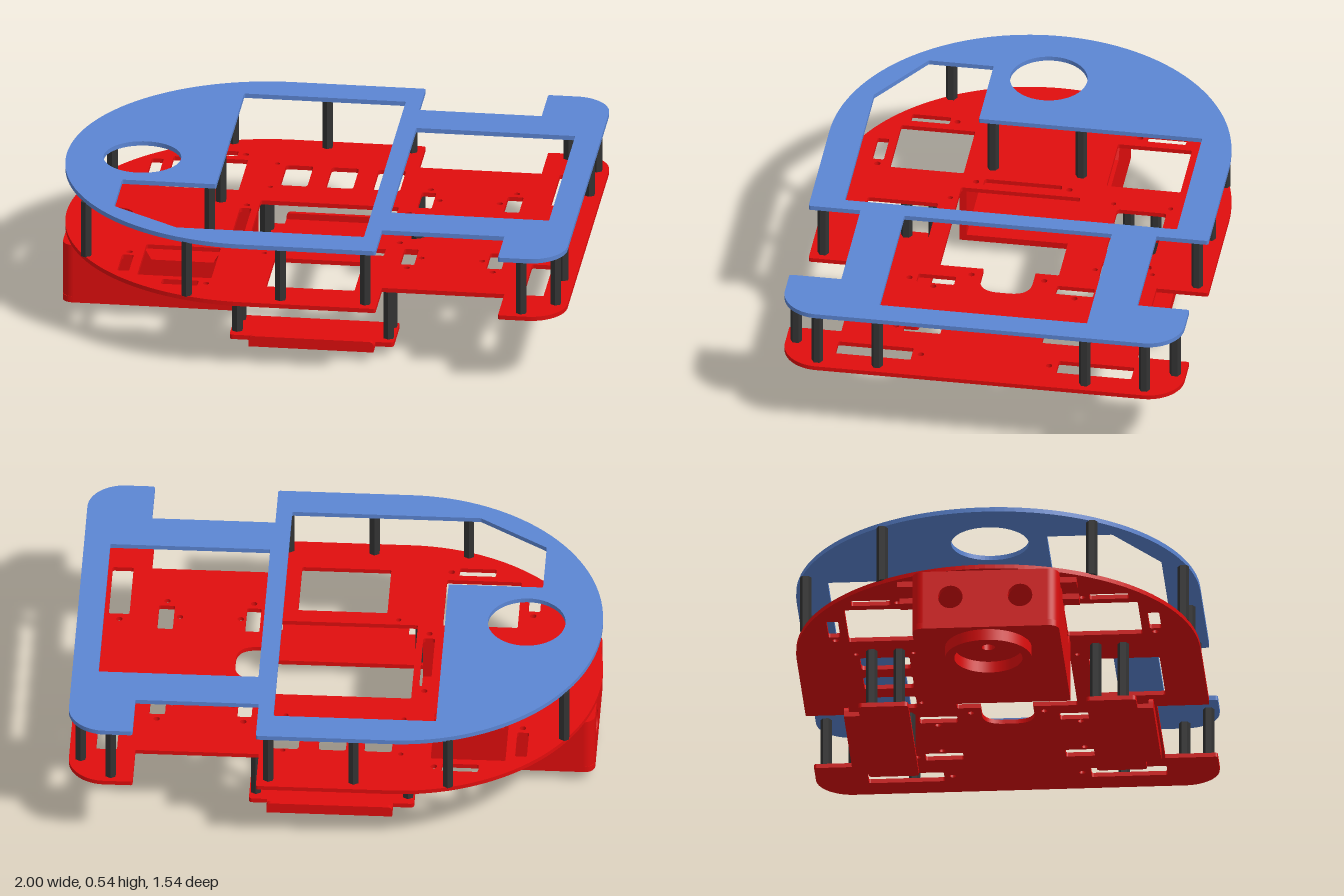
import * as THREE from 'three';

const RED = new THREE.MeshStandardMaterial({ color: 0xe00d0d, side: THREE.DoubleSide });
const BLUE = new THREE.MeshStandardMaterial({ color: 0x5c86d4, side: THREE.DoubleSide });
const BLACK = new THREE.MeshStandardMaterial({ color: 0x333333 });

// Closed outline from corner points, each corner rounded by r
function poly(pts, r = 0, Type = THREE.Path) {
  const path = new Type();
  const v = pts.map(p => new THREE.Vector2(p[0], p[1]));
  v.forEach((p, i) => {
    const a = v[(i + v.length - 1) % v.length], b = v[(i + 1) % v.length];
    const rr = pts[i][2] ?? r;
    const s = p.clone().add(a.clone().sub(p).setLength(rr));
    const e = p.clone().add(b.clone().sub(p).setLength(rr));
    if (i === 0) path.moveTo(s.x, s.y); else path.lineTo(s.x, s.y);
    if (rr > 0) path.quadraticCurveTo(p.x, p.y, e.x, e.y);
  });
  path.closePath();
  return path;
}
const rect = (x0, x1, z0, z1, r = 0.008) => poly([[x0, z0], [x1, z0], [x1, z1], [x0, z1]], r);
const circle = (x, z, r) => new THREE.Path().absarc(x, z, r, 0, Math.PI * 2, true);

// Horizontal slab: shape lies in x,z and fills y0..y1
function slab(name, shape, holes, y0, y1, mat) {
  shape.holes.push(...holes);
  const g = new THREE.ExtrudeGeometry(shape, { depth: y1 - y0, bevelEnabled: false, curveSegments: 32 });
  g.rotateX(Math.PI / 2).translate(0, y1, 0);
  const m = new THREE.Mesh(g, mat);
  m.name = name;
  return m;
}

// Deck outline: round nose at -x, wheel notches, rounded tail corners
function deckOutline() {
  const s = new THREE.Shape();
  s.moveTo(-0.23, -0.77);
  s.lineTo(0.27, -0.77);
  s.quadraticCurveTo(0.28, -0.77, 0.28, -0.76);
  s.lineTo(0.28, -0.57);
  s.lineTo(0.75, -0.57);
  s.lineTo(0.75, -0.76);
  s.quadraticCurveTo(0.75, -0.77, 0.76, -0.77);
  s.lineTo(0.86, -0.77);
  s.absarc(0.86, -0.63, 0.14, -Math.PI / 2, 0, false);
  s.absarc(0.86, 0.63, 0.14, 0, Math.PI / 2, false);
  s.lineTo(0.76, 0.77);
  s.quadraticCurveTo(0.75, 0.77, 0.75, 0.76);
  s.lineTo(0.75, 0.57);
  s.lineTo(0.28, 0.57);
  s.lineTo(0.28, 0.76);
  s.quadraticCurveTo(0.28, 0.77, 0.27, 0.77);
  s.lineTo(-0.23, 0.77);
  s.absarc(-0.23, 0, 0.77, Math.PI / 2, Math.PI * 1.5, false);
  return s;
}

function lowerDeck() {
  const holes = [
    // central opening with a rounded tongue toward the tail
    poly([[-0.28, -0.19], [0.25, -0.19], [0.25, -0.1, 0], [0.4, -0.1, 0.08],
      [0.4, 0.1, 0.08], [0.25, 0.1, 0], [0.25, 0.27], [-0.28, 0.27]], 0.008),
    rect(-0.35, -0.305, -0.11, 0.19, 0.012),
    rect(-0.16, 0.18, 0.34, 0.61),
    circle(-0.8, 0, 0.055),
    circle(-0.26, -0.54, 0.01), circle(0.19, -0.54, 0.01),
    circle(-0.26, -0.32, 0.01), circle(0.19, -0.32, 0.01), circle(-0.205, 0.3, 0.01),
    circle(-0.327, -0.14, 0.012), circle(-0.327, 0.22, 0.012),
  ];
  for (const x of [-0.225, -0.05, 0.13]) holes.push(rect(x, x + 0.105, -0.53, -0.34, 0.015));
  for (const s of [-1, 1]) {
    const slot = (a, b, c, d) => holes.push(rect(a, b, Math.min(s * c, s * d), Math.max(s * c, s * d)));
    slot(-0.66, -0.375, 0.275, 0.56);
    slot(-0.74, -0.695, 0.38, 0.53);
    slot(-0.56, -0.42, 0.59, 0.635);
    slot(0.32, 0.375, 0.195, 0.34);
    slot(0.65, 0.71, 0.195, 0.34);
    slot(0.82, 0.9, 0.28, 0.57);
    for (const [x, z] of [[0.35, 0.37], [0.68, 0.37], [0.395, 0.272], [0.627, 0.272],
      [0.857, 0.247], [0.295, 0.14], [-0.715, 0.352], [-0.39, 0.61]]) {
      holes.push(circle(x, s * z, 0.012));
    }
  }
  return slab('lowerDeck', deckOutline(), holes, 0.283, 0.3, RED);
}

function upperDeck() {
  return slab('upperDeck', deckOutline(), [
    poly([[-0.4, -0.64], [0.22, -0.64], [0.22, 0.64], [-0.5, 0.64], [-0.76, 0.47],
      [-0.76, 0.22], [-0.4, 0.22]], 0.006),
    rect(0.29, 0.9, -0.4, 0.4, 0.004),
    circle(-0.71, 0, 0.148),
  ], 0.522, 0.54, BLUE);
}

function post(name, x, z, y0, y1) {
  const m = new THREE.Mesh(new THREE.CylinderGeometry(0.022, 0.022, y1 - y0, 6).toNonIndexed(), BLACK);
  m.geometry.computeVertexNormals();
  m.position.set(x, (y0 + y1) / 2, z);
  m.name = name;
  return m;
}

// Sensor housing under the nose, open at the back, with the caster socket below
function noseHousing() {
  const g = new THREE.Group();
  g.name = 'noseHousing';
  const add = (name, geo) => {
    const m = new THREE.Mesh(geo, RED);
    m.name = name;
    g.add(m);
  };
  const T = 0.028, R = 0.045, X0 = -0.985, X1 = -0.3, Z = 0.28, Y0 = 0.045, Y1 = 0.283;

  g.add(slab('housingFloor', poly([[X0, -Z, R], [X1, -Z], [X1, Z], [X0, Z, R]], 0, THREE.Shape),
    [circle(-0.8, 0, 0.025)], Y0, Y0 + 0.025, RED));

  // front wall with two round eyes
  const wall = poly([[-Z + R, Y0], [Z - R, Y0], [Z - R, Y1], [-Z + R, Y1]], 0, THREE.Shape);
  wall.holes.push(circle(-0.133, 0.175, 0.047), circle(0.133, 0.175, 0.047));
  const wg = new THREE.ExtrudeGeometry(wall, { depth: T, bevelEnabled: false, curveSegments: 24 });
  add('housingFront', wg.rotateY(-Math.PI / 2).translate(X0 + T, 0, 0));

  for (const s of [-1, 1]) {
    // side wall with a sloped notch in its top edge
    const side = poly([[X0 + R, Y0], [X1, Y0], [X1, Y1], [-0.372, Y1], [-0.4, 0.24],
      [-0.64, 0.24], [-0.665, Y1], [X0 + R, Y1]], 0, THREE.Shape);
    const sg = new THREE.ExtrudeGeometry(side, { depth: T, bevelEnabled: false });
    add('housingSide', sg.translate(0, 0, s > 0 ? Z - T : -Z));

    // rounded vertical corner
    const c = new THREE.Shape();
    const a0 = s > 0 ? Math.PI / 2 : Math.PI, a1 = a0 + Math.PI / 2;
    c.absarc(X0 + R, s * (Z - R), R, a0, a1, false);
    c.absarc(X0 + R, s * (Z - R), R - T, a1, a0, true);
    g.add(slab('housingCorner', c, [], Y0, Y1, RED));

    // mounting tabs
    for (const x of [-0.875, -0.725]) {
      const tab = new THREE.BoxGeometry(0.055, 0.023, 0.065);
      add('mountingTab', tab.translate(x, 0.272, s * 0.31));
    }
  }

  // caster socket ring
  const ring = [[0.13, 0.046], [0.13, 0], [0.13, 0], [0.165, 0], [0.165, 0], [0.165, 0.046]];
  const socket = new THREE.LatheGeometry(ring.map(p => new THREE.Vector2(...p)), 48);
  add('casterSocket', socket.translate(-0.8, 0, 0));
  return g;
}

// Hanging motor tray: wide middle with an upturned lip, held by four posts
function motorTray(s) {
  const g = new THREE.Group();
  g.name = s > 0 ? 'frontTray' : 'backTray';
  const pts = [[-0.31, 0.34], [0.32, 0.34], [0.32, 0.53], [0.25, 0.53, 0], [0.25, 0.59, 0],
    [-0.23, 0.59, 0], [-0.23, 0.53, 0], [-0.31, 0.53]].map(p => [p[0], s * p[1], p[2]]);
  g.add(slab('trayPlate', poly(pts, 0.015, THREE.Shape), [], 0.038, 0.056, RED));
  const lip = poly([[-0.23, 0.045, 0], [0.25, 0.045, 0], [0.25, 0.081], [-0.23, 0.081]], 0.02, THREE.Shape);
  const lg = new THREE.ExtrudeGeometry(lip, { depth: 0.017, bevelEnabled: false });
  const m = new THREE.Mesh(lg.translate(0, 0, s > 0 ? 0.573 : -0.59), RED);
  m.name = 'trayLip';
  g.add(m);
  for (const x of [-0.285, 0.295]) for (const z of [0.375, 0.48]) {
    g.add(post('trayPost', x, s * z, 0.054, 0.285));
  }
  return g;
}

export function createModel() {
  const model = new THREE.Group();
  model.name = 'robotChassis';
  model.add(lowerDeck(), upperDeck(), noseHousing());
  const posts = [[-0.875, 0.4], [-0.43, 0.17], [-0.45, 0.72], [-0.09, 0.72], [0.235, 0.72],
    [0.835, 0.73], [0.955, 0.63], [0.955, 0.4]];
  for (const s of [-1, 1]) {
    model.add(motorTray(s));
    for (const [x, z] of posts) model.add(post('deckPost', x, s * z, 0.298, 0.524));
  }
  return model;
}
